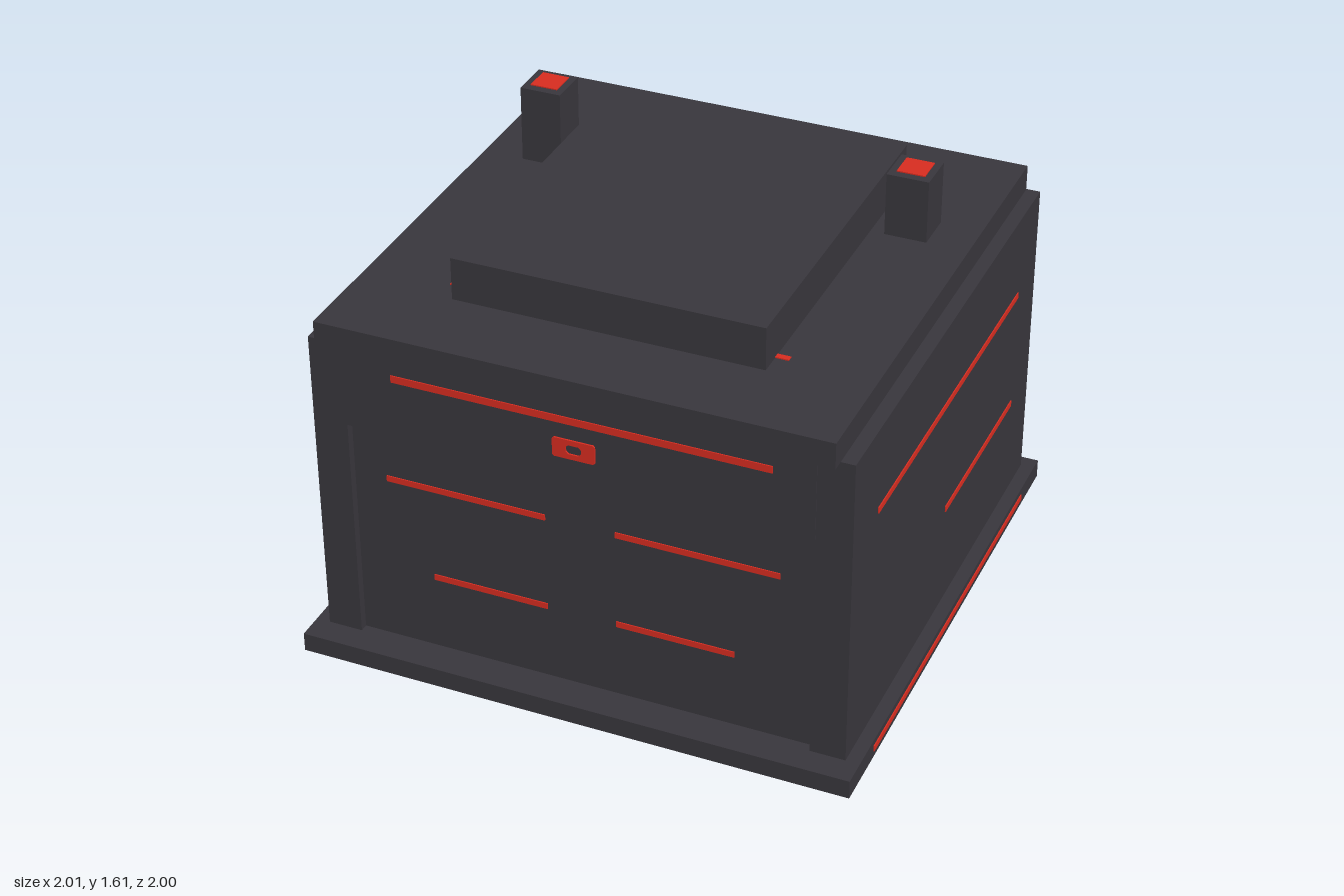
import * as THREE from 'three';

export function createModel() {
  const root = new THREE.Group();
  root.name = 'bunker';
  const dark = new THREE.MeshStandardMaterial({ color: 0x38363c });
  dark.name = 'charcoal';
  const red = new THREE.MeshStandardMaterial({ color: 0xd62c20 });
  red.name = 'signal red';

  // Box given by its minimum and maximum on each axis
  function box(name, mat, [x0, x1], [y0, y1], [z0, z1]) {
    const mesh = new THREE.Mesh(new THREE.BoxGeometry(x1 - x0, y1 - y0, z1 - z0), mat);
    mesh.position.set((x0 + x1) / 2, (y0 + y1) / 2, (z0 + z1) / 2);
    mesh.name = name;
    root.add(mesh);
  }
  const T = 0.004; // thickness of light strips
  const H = 0.011; // half height of light strips

  // Foundation and walls; the door lies in a shallow recess
  box('foundation', dark, [-1, 1], [0, 0.07], [-1, 1]);
  box('walls', dark, [-0.95, 0.95], [0.07, 1.23], [-0.95, 0.875]);
  box('backPanel', dark, [-0.83, 0.83], [0.07, 1.22], [-0.955, -0.95]);
  box('doorHeader', dark, [-0.825, 0.825], [0.92, 1.23], [0.875, 0.908]);
  for (const s of [-1, 1]) {
    const xs = s < 0 ? [-0.95, -0.825] : [0.825, 0.95];
    box('doorPillar', dark, xs, [0.07, 1.23], [0.875, 0.905]);
  }

  // Roof slab and raised roof block
  box('roofSlab', dark, [-0.9, 0.9], [1.23, 1.325], [-0.945, 0.95]);
  box('roofBlock', dark, [-0.55, 0.55], [1.325, 1.48], [-0.65, 0.65]);

  // Chimneys with glowing tops
  for (const [x, top] of [[-0.675, 1.605], [0.675, 1.555]]) {
    box('chimney', dark, [x - 0.075, x + 0.075], [1.325, top], [-0.45, -0.3]);
    box('chimneyGlow', red, [x - 0.05, x + 0.05], [top, top + T], [-0.43, -0.33]);
  }

  // Small lights beside the roof block
  for (const z of [-0.59, 0.56]) {
    box('roofLight', red, [-0.597, -0.55], [1.325, 1.325 + T], [z - H, z + H]);
    box('roofLight', red, [0.55, 0.597], [1.325, 1.325 + T], [z - H, z + H]);
  }

  // Front light strips: header, then four on the door
  box('headerLight', red, [-0.65, 0.68], [1.132, 1.158], [0.908, 0.908 + T]);
  for (const [x0, x1, y] of [[-0.705, -0.125, 0.72], [0.125, 0.7, 0.72],
    [-0.545, -0.125, 0.36], [0.125, 0.545, 0.36]]) {
    box('doorLight', red, [x0, x1], [y - H, y + H], [0.875, 0.875 + T]);
  }
  box('backLight', red, [-0.61, 0.59], [0.71 - H, 0.71 + H], [-0.955 - T, -0.955]);

  // Side light strips: side, wall x, height, z range
  for (const [s, x, y, z0, z1] of [
    [1, 0.95, 0.917, -0.75, 0.68], [1, 0.95, 0.463, -0.75, -0.03], [1, 1, 0.037, -0.795, 0.775],
    [-1, 0.95, 0.917, -0.7, 0.71], [-1, 0.95, 0.463, -0.7, -0.01], [-1, 1, 0.037, -0.76, 0.81]]) {
    box('sideLight', red, s > 0 ? [x, x + T] : [-x - T, -x], [y - H, y + H], [z0, z1]);
  }

  // Sensor plate above the door: clipped corners and an eight-sided hole
  const octagon = (w, h, c) => [[-w, -h + c], [-w + c, -h], [w - c, -h], [w, -h + c],
    [w, h - c], [w - c, h], [-w + c, h], [-w, h - c]].map(([x, y]) => new THREE.Vector2(x, y));
  const plate = new THREE.Shape(octagon(0.075, 0.036, 0.006));
  plate.holes.push(new THREE.Path(octagon(0.027, 0.017, 0.009).reverse()));
  const sensor = new THREE.Mesh(
    new THREE.ExtrudeGeometry(plate, { depth: 0.006, bevelEnabled: false }), red);
  sensor.position.set(0, 1.038, 0.908);
  sensor.name = 'sensorPlate';
  root.add(sensor);

  return root;
}
